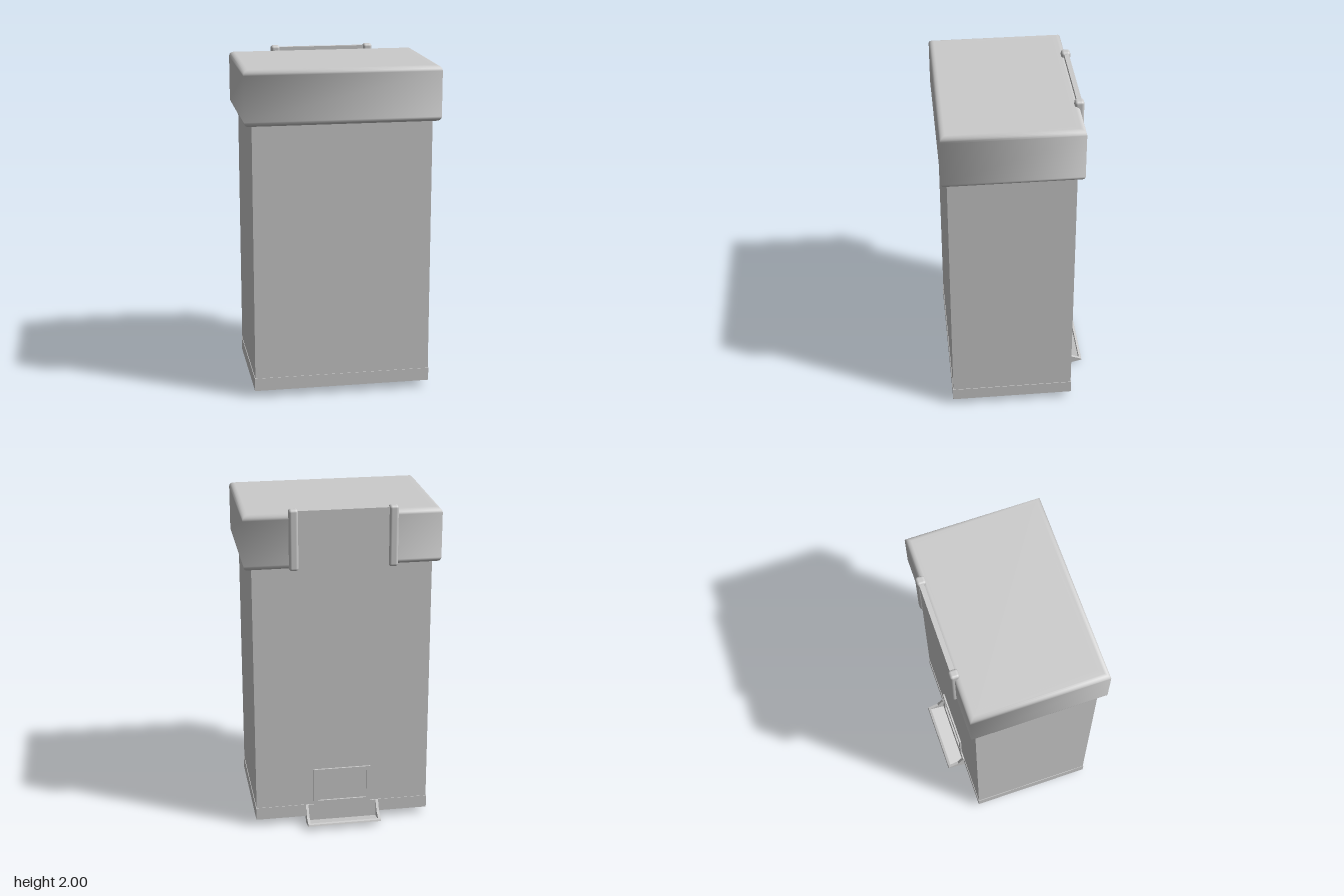
import * as THREE from 'three';
import { RoundedBoxGeometry } from 'three/addons/geometries/RoundedBoxGeometry.js';

const material = new THREE.MeshStandardMaterial({ color: 0xcccccc });

function part(name, geometry, x = 0, y = 0, z = 0) {
  const mesh = new THREE.Mesh(geometry, material);
  mesh.name = name;
  mesh.position.set(x, y, z);
  return mesh;
}

// Box given by its extents, centred on x = 0
function block(name, width, y0, y1, z0, z1) {
  return part(name, new THREE.BoxGeometry(width, y1 - y0, z1 - z0), 0, (y0 + y1) / 2, (z0 + z1) / 2);
}

// Side profile of [z, y] points, extruded across x from x0 to x1
function sideExtrude(name, points, x0, x1) {
  const shape = new THREE.Shape(points.map(([z, y]) => new THREE.Vector2(-z, y)));
  const geometry = new THREE.ExtrudeGeometry(shape, { depth: x1 - x0, bevelEnabled: false });
  geometry.rotateY(Math.PI / 2);
  return part(name, geometry, x0);
}

// Box with mitred corners and rounded top and bottom edges, smooth shaded
function pillowBox(w, h, d, r, steps = 6) {
  const rings = [[0.06, -h / 2]];
  for (const side of [-1, 1]) {
    for (let i = 0; i <= steps; i++) {
      const a = (side < 0 ? i - steps : i) / steps * Math.PI / 2;
      rings.push([r * (1 - Math.cos(a)), side * (h / 2 - r) + r * Math.sin(a)]);
    }
  }
  rings.push([0.06, h / 2]);
  const positions = [], index = [];
  for (const [inset, y] of rings) {
    for (const [sx, sz] of [[1, 1], [1, -1], [-1, -1], [-1, 1]]) {
      positions.push(sx * (w / 2 - inset), y, sz * (d / 2 - inset));
    }
  }
  for (let k = 0; k < rings.length - 1; k++) {
    for (let i = 0; i < 4; i++) {
      const a = k * 4 + i, b = k * 4 + (i + 1) % 4;
      index.push(a, b, b + 4, a, b + 4, a + 4);
    }
  }
  const t = (rings.length - 1) * 4;
  index.push(t, t + 1, t + 2, t, t + 2, t + 3, 0, 2, 1, 0, 3, 2);
  const geometry = new THREE.BufferGeometry();
  geometry.setAttribute('position', new THREE.Float32BufferAttribute(positions, 3));
  geometry.setIndex(index);
  geometry.computeVertexNormals();
  return geometry;
}

// Pedal tray: sloping floor, lip, back wall and two side cheeks
function createPedal() {
  const pedal = new THREE.Group();
  pedal.name = 'pedal';
  const half = 0.225, wall = 0.016;
  pedal.add(sideExtrude('pedalFloor',
    [[-0.325, 0], [-0.44, 0.027], [-0.436, 0.036], [-0.424, 0.04], [-0.42, 0.032], [-0.325, 0.012]], -half, half));
  pedal.add(block('pedalBack', half * 2, 0.005, 0.12, -0.333, -0.322));
  const cheek = [[-0.325, 0], [-0.44, 0.027], [-0.436, 0.036], [-0.37, 0.06], [-0.333, 0.12], [-0.325, 0.12]];
  for (const s of [-1, 1]) {
    const x = s * (half - wall / 2);
    pedal.add(sideExtrude('pedalCheek', cheek, x - wall / 2, x + wall / 2));
  }
  return pedal;
}

// Raised rectangular frame above the pedal
function createFrame() {
  const rect = (path, w, h) => path.moveTo(-w, -h).lineTo(w, -h).lineTo(w, h).lineTo(-w, h).closePath();
  const shape = rect(new THREE.Shape(), 0.175, 0.118);
  shape.holes.push(rect(new THREE.Path(), 0.15, 0.093));
  const geometry = new THREE.ExtrudeGeometry(shape, { depth: 0.012, bevelEnabled: false });
  return part('pedalFrame', geometry, 0, 0.237, -0.335);
}

export function createModel() {
  const bin = new THREE.Group();
  bin.name = 'pedalBin';

  // Body with a barely proud band around its foot
  bin.add(block('body', 1.054, 0.045, 1.7, -0.325, 0.405));
  bin.add(block('baseBand', 1.06, 0.042, 0.12, -0.328, 0.408));

  // Lid
  bin.add(part('lid', pillowBox(1.146, 0.324, 0.8, 0.03), 0, 1.808, 0.038));

  // Hinge plate held between two rounded rods
  bin.add(block('hingePlate', 0.56, 1.65, 1.99, -0.374, -0.346));
  for (const s of [-1, 1]) {
    bin.add(part('hingeRod', new RoundedBoxGeometry(0.054, 0.36, 0.054, 4, 0.016), s * 0.288, 1.82, -0.358));
  }

  bin.add(createFrame(), createPedal());
  return bin;
}
